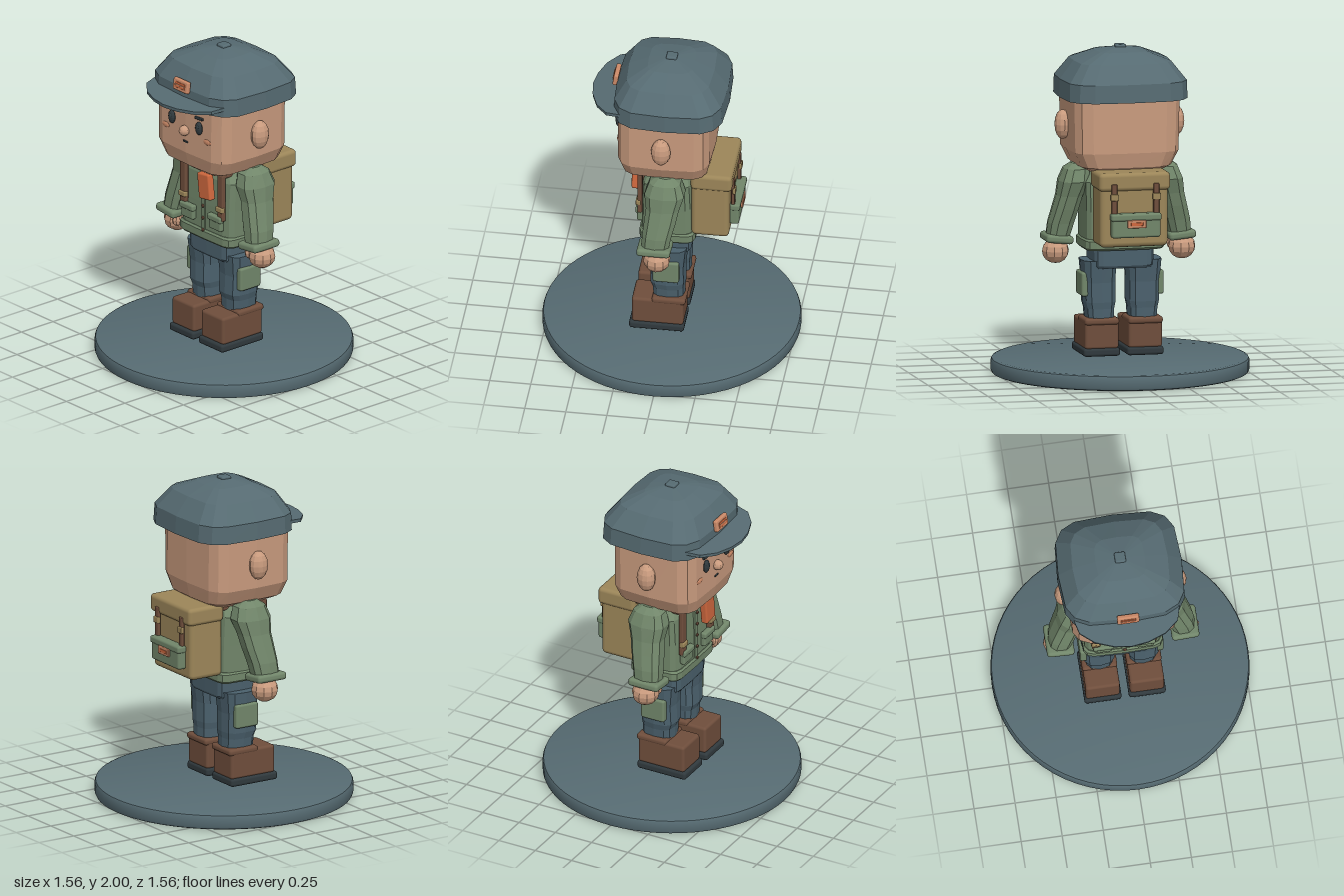
import * as THREE from 'three';
import { toCreasedNormals } from 'three/addons/utils/BufferGeometryUtils.js';
import { RoundedBoxGeometry } from 'three/addons/geometries/RoundedBoxGeometry.js';

const paint = (name, color) => {
  const m = new THREE.MeshStandardMaterial({ color });
  m.name = name;
  return m;
};

// Faceted normals
function facet(geo) {
  const g = geo.index ? geo.toNonIndexed() : geo;
  g.computeVertexNormals();
  return g;
}

// Closed loft through rounded-square rings [y, cx, cz, rx, rz], listed bottom to top
function loft(rings, power = 0.5, sides = 16) {
  const pos = [], idx = [];
  const soft = v => Math.sign(v) * Math.pow(Math.abs(v) < 1e-6 ? 0 : Math.abs(v), power);
  for (const [y, cx, cz, rx, rz] of rings) {
    for (let j = 0; j < sides; j++) {
      const t = j / sides * Math.PI * 2;
      pos.push(cx + rx * soft(Math.cos(t)), y, cz + rz * soft(Math.sin(t)));
    }
  }
  for (let i = 0; i < rings.length - 1; i++) {
    for (let j = 0; j < sides; j++) {
      const a = i * sides + j, b = i * sides + (j + 1) % sides;
      idx.push(a, a + sides, b, b, a + sides, b + sides);
    }
  }
  const low = rings.length * sides, last = low - sides;
  for (const [y, cx, cz] of [rings[0], rings[rings.length - 1]]) pos.push(cx, y, cz);
  for (let j = 0; j < sides; j++) {
    const k = (j + 1) % sides;
    idx.push(low, j, k, low + 1, last + k, last + j);
  }
  const g = new THREE.BufferGeometry();
  g.setAttribute('position', new THREE.Float32BufferAttribute(pos, 3));
  g.setIndex(idx);
  return facet(g);
}

export function createModel() {
  const slate = paint('slate', 0x566b72), denim = paint('denim', 0x4b616d);
  const skin = paint('skin', 0xc99b7e), green = paint('jacket green', 0x71866a);
  const brown = paint('leather brown', 0x6f4e3c), tan = paint('canvas tan', 0x9c8659);
  const orange = paint('orange', 0xcf683e), copper = paint('copper', 0xcc8a68);
  const dark = paint('charcoal', 0x30393d);

  const model = new THREE.Group();
  model.name = 'hikerFigure';
  const group = name => {
    const g = new THREE.Group();
    g.name = name;
    model.add(g);
    return g;
  };
  const add = (parent, name, geo, mat) => {
    const m = new THREE.Mesh(geo, mat);
    m.name = name;
    parent.add(m);
    return m;
  };
  // Rounded box given by centre and size
  const box = (parent, name, mat, [x, y, z], [w, h, d], r = 0.012) => {
    const m = add(parent, name, new RoundedBoxGeometry(w, h, d, 2, Math.min(r, w / 2.1, h / 2.1, d / 2.1)), mat);
    m.position.set(x, y, z);
    return m;
  };
  const ball = (parent, name, mat, [x, y, z], [rx, ry, rz], w = 12, h = 8) => {
    const m = add(parent, name, facet(new THREE.SphereGeometry(1, w, h).scale(rx, ry, rz)), mat);
    m.position.set(x, y, z);
    return m;
  };

  // Round stand
  const rim = [[0, 0], [0.76, 0], [0.774, 0.006], [0.78, 0.02], [0.78, 0.075], [0.774, 0.089], [0.76, 0.095], [0, 0.095]];
  add(model, 'stand', toCreasedNormals(
    new THREE.LatheGeometry(rim.map(p => new THREE.Vector2(...p)), 64), 0.7), slate);

  // Head
  const head = group('head');
  add(head, 'face', loft([
    [1.22, 0, 0.0, 0.16, 0.19], [1.28, 0, 0.016, 0.285, 0.265],
    [1.37, 0, 0.018, 0.33, 0.287], [1.75, 0, 0.018, 0.338, 0.287],
  ], 0.4), skin);
  add(head, 'neck', loft([[1.15, 0, 0, 0.12, 0.11], [1.25, 0, 0, 0.12, 0.11]], 0.8), skin);
  ball(head, 'nose', skin, [0, 1.515, 0.315], [0.034, 0.032, 0.035]);
  box(head, 'mouth', dark, [0, 1.442, 0.305], [0.04, 0.012, 0.012], 0.004);
  for (const s of [1, -1]) {
    ball(head, 'ear', skin, [s * 0.352, 1.52, 0.017], [0.05, 0.09, 0.06]);
    ball(head, 'eye', dark, [s * 0.125, 1.565, 0.305], [0.028, 0.042, 0.02]);
    ball(head, 'eyeGlint', slate, [s * 0.125 + 0.008, 1.58, 0.322], [0.006, 0.008, 0.004], 8, 6);
    box(head, 'eyebrow', dark, [s * 0.125, 1.63, 0.305], [0.07, 0.017, 0.016], 0.005).rotation.z = s * 0.05;
    ball(head, 'cheek', copper, [s * 0.19, 1.492, 0.296], [0.036, 0.018, 0.009]);
  }

  // Cap with brim, button and badge
  const cap = group('cap');
  add(cap, 'crown', loft([
    [1.69, 0, -0.01, 0.38, 0.343], [1.8, 0, -0.008, 0.376, 0.338],
    [1.91, 0, 0, 0.29, 0.26], [1.965, 0, 0, 0.15, 0.14], [1.985, 0, 0, 0.03, 0.03],
  ], 0.5), slate);
  box(cap, 'button', slate, [0, 1.985, 0], [0.066, 0.03, 0.066], 0.01);
  const edge = [[0.3, 0.2], [0.322, 0.275], [0.3, 0.36], [0.215, 0.43], [0.105, 0.47]];
  const outline = [...edge, [0, 0.484], ...edge.map(([x, z]) => [-x, z]).reverse()];
  const brimShape = new THREE.Shape(outline.map(p => new THREE.Vector2(...p)));
  const brim = add(cap, 'brim', facet(new THREE.ExtrudeGeometry(brimShape, { depth: 0.02, bevelEnabled: false })), slate);
  brim.rotation.x = Math.PI / 2 + 0.1;
  brim.position.y = 1.779;
  const badge = group('capBadge');
  badge.position.set(0, 1.815, 0.335);
  badge.rotation.x = -0.15;
  box(badge, 'badgePlate', copper, [0, 0, 0], [0.135, 0.075, 0.03], 0.01);
  box(badge, 'badgeInset', orange, [0, 0, 0.014], [0.09, 0.036, 0.008], 0.003);
  box(badge, 'badgeBar', copper, [0, 0, 0.018], [0.09, 0.01, 0.006], 0.002);

  // Jacket
  const jacket = group('jacket');
  add(jacket, 'jacketBody', loft([
    [0.78, 0, 0, 0.238, 0.162], [1.0, 0, 0, 0.24, 0.16],
    [1.18, 0, 0, 0.245, 0.152], [1.24, 0, 0, 0.2, 0.13],
  ], 0.35), green);
  add(jacket, 'hem', loft([
    [0.765, 0, 0, 0.236, 0.164], [0.777, 0, 0, 0.247, 0.174],
    [0.822, 0, 0, 0.247, 0.174], [0.834, 0, 0, 0.236, 0.164],
  ], 0.3), green);
  box(jacket, 'placket', green, [0, 1.01, 0.158], [0.03, 0.4, 0.02], 0.005);
  for (let i = 0; i < 5; i++) ball(jacket, 'button', brown, [0.005, 0.83 + i * 0.078, 0.172], [0.011, 0.011, 0.009], 8, 6);
  for (const s of [1, -1]) {
    box(jacket, 'chestPocket', green, [s * 0.128, 0.912, 0.17], [0.11, 0.085, 0.035]);
    box(jacket, 'pocketFlap', green, [s * 0.128, 0.947, 0.177], [0.125, 0.04, 0.04]);
    // Sleeve, cuff and hand
    const arm = group(s > 0 ? 'leftArm' : 'rightArm');
    add(arm, 'sleeve', loft([
      [0.82, s * 0.38, 0.048, 0.07, 0.085], [0.92, s * 0.36, 0.036, 0.08, 0.092],
      [1.01, s * 0.336, 0.02, 0.08, 0.1], [1.09, s * 0.315, 0.008, 0.08, 0.104],
      [1.18, s * 0.29, 0, 0.093, 0.125], [1.255, s * 0.272, 0, 0.08, 0.098],
      [1.288, s * 0.262, 0, 0.045, 0.05],
    ], 0.75, 10), green);
    box(arm, 'cuff', green, [s * 0.38, 0.824, 0.05], [0.168, 0.05, 0.205], 0.02).rotation.z = s * 0.1;
    ball(arm, 'hand', skin, [s * 0.392, 0.748, 0.035], [0.083, 0.076, 0.083], 10, 8);
    ball(arm, 'thumb', skin, [s * 0.336, 0.765, 0.085], [0.027, 0.04, 0.032], 8, 6);
  }

  // Orange radio clipped to the chest
  const radio = group('chestRadio');
  radio.position.set(0.073, 1.147, 0.205);
  radio.rotation.z = 0.12;
  box(radio, 'radioBody', orange, [0, 0, 0], [0.108, 0.165, 0.046], 0.012);

  // Trousers and boots
  const legs = group('legs');
  add(legs, 'hips', loft([
    [0.65, 0, 0, 0.18, 0.13], [0.665, 0, 0, 0.188, 0.14], [0.8, 0, 0, 0.19, 0.142],
  ], 0.35), denim);
  for (const s of [1, -1]) {
    add(legs, 'trouserLeg', loft([
      [0.32, s * 0.132, -0.005, 0.085, 0.098], [0.4, s * 0.134, -0.003, 0.09, 0.1],
      [0.44, s * 0.135, 0.002, 0.099, 0.11], [0.56, s * 0.137, 0, 0.1, 0.107],
      [0.695, s * 0.139, 0, 0.109, 0.122],
    ], 0.65, 12), denim);
    box(legs, 'thighPocket', green, [s * 0.23, 0.55, 0.003], [0.05, 0.148, 0.16], 0.014);
    box(legs, 'boot', brown, [s * 0.135, 0.243, 0.055], [0.208, 0.175, 0.315], 0.018);
    box(legs, 'bootCuff', brown, [s * 0.135, 0.325, -0.012], [0.214, 0.042, 0.206], 0.018);
    box(legs, 'sole', dark, [s * 0.135, 0.137, 0.06], [0.226, 0.052, 0.335], 0.018);
  }

  // Backpack with lid, pocket, buckles and shoulder straps
  const pack = group('backpack');
  box(pack, 'packBody', tan, [0, 1.01, -0.26], [0.42, 0.39, 0.23], 0.03);
  box(pack, 'packLid', tan, [0, 1.215, -0.268], [0.44, 0.11, 0.252], 0.025);
  box(pack, 'packPocket', green, [0, 0.952, -0.398], [0.3, 0.145, 0.06], 0.015);
  box(pack, 'packPocketFlap', green, [0, 1.005, -0.403], [0.312, 0.045, 0.064], 0.014);
  box(pack, 'packBadge', copper, [0, 0.965, -0.434], [0.115, 0.05, 0.014], 0.005);
  box(pack, 'packBadgeInset', orange, [0, 0.965, -0.44], [0.075, 0.02, 0.007], 0.002);
  const handle = add(pack, 'packHandle', new THREE.TorusGeometry(0.055, 0.01, 6, 12, Math.PI), brown);
  handle.scale.y = 0.5;
  handle.position.set(0, 1.262, -0.2);
  for (const s of [1, -1]) {
    box(pack, 'lidStrap', brown, [s * 0.13, 1.11, -0.392], [0.035, 0.19, 0.022], 0.006);
    box(pack, 'lidBuckle', tan, [s * 0.13, 1.125, -0.4], [0.048, 0.04, 0.02], 0.006);
    box(pack, 'shoulderStrap', brown, [s * 0.172, 1.09, 0.168], [0.05, 0.3, 0.03], 0.008);
    box(pack, 'strapOverShoulder', brown, [s * 0.172, 1.23, 0.005], [0.05, 0.025, 0.345], 0.008);
    box(pack, 'strapBuckle', tan, [s * 0.172, 1.015, 0.178], [0.06, 0.034, 0.03], 0.007);
  }

  return model;
}
